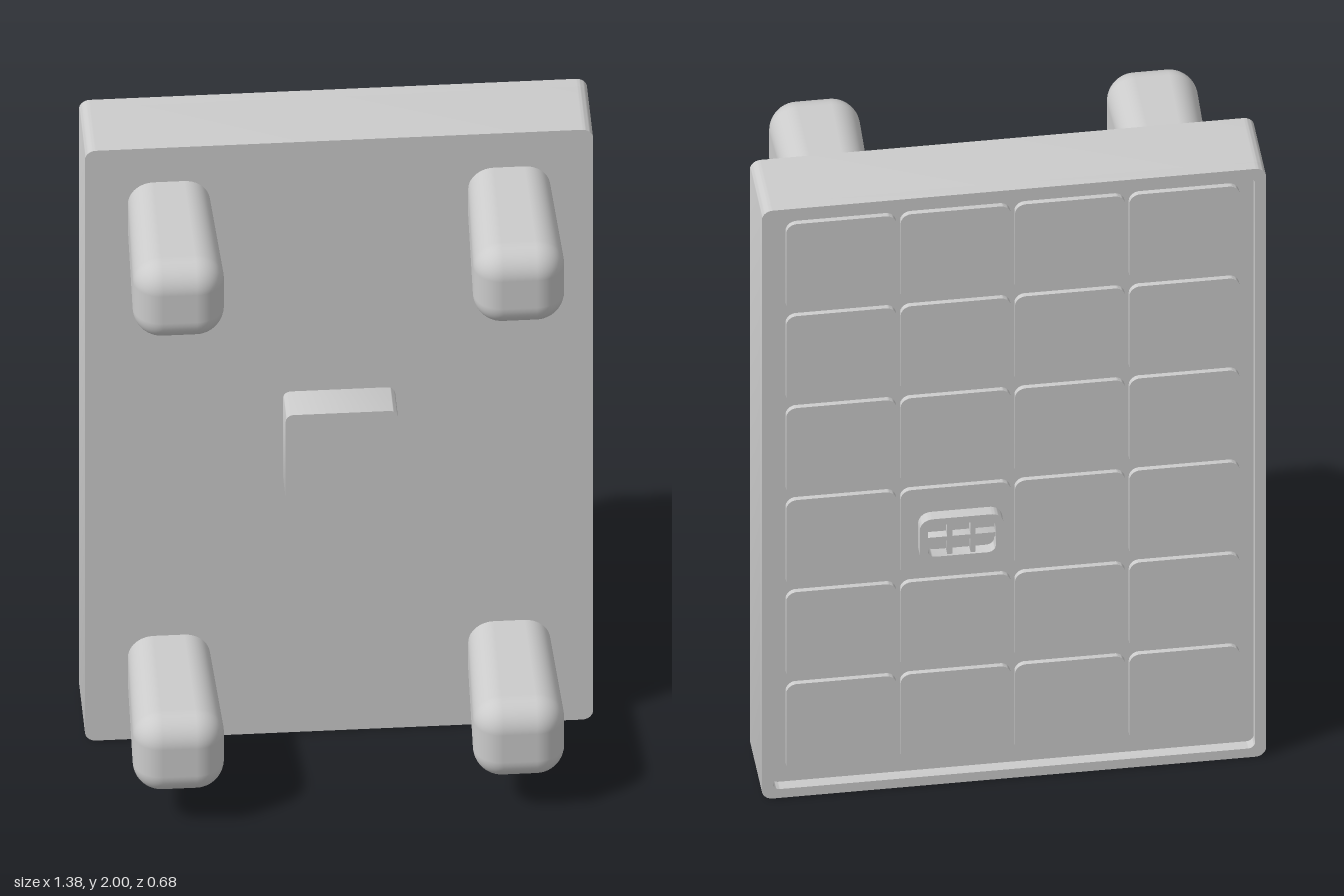
import * as THREE from 'three';
import { toCreasedNormals } from 'three/addons/utils/BufferGeometryUtils.js';
import { RoundedBoxGeometry } from 'three/addons/geometries/RoundedBoxGeometry.js';

const material = new THREE.MeshStandardMaterial({ color: 0xcccccc });

// Rounded rectangle centred on (cx, cy), drawn into a Shape or Path
function roundedRect(path, w, h, r, cx = 0, cy = 0) {
  const x = w / 2, y = h / 2;
  path.moveTo(cx + x, cy - y + r);
  path.absarc(cx + x - r, cy + y - r, r, 0, Math.PI / 2);
  path.absarc(cx - x + r, cy + y - r, r, Math.PI / 2, Math.PI);
  path.absarc(cx - x + r, cy - y + r, r, Math.PI, Math.PI * 1.5);
  path.absarc(cx + x - r, cy - y + r, r, Math.PI * 1.5, Math.PI * 2);
  path.closePath();
  return path;
}

// Flat plate between two z values, with optional holes
function plate(name, w, h, r, z0, z1, x, y, holes = []) {
  const shape = roundedRect(new THREE.Shape(), w, h, r);
  shape.holes = holes;
  const flat = new THREE.ExtrudeGeometry(shape, { depth: z1 - z0, bevelEnabled: false, curveSegments: 6 });
  const mesh = new THREE.Mesh(toCreasedNormals(flat, 0.6), material);
  mesh.name = name;
  mesh.position.set(x, y, z0);
  return mesh;
}

// Rounded leg that widens slightly towards its tip
function legGeometry() {
  const z0 = -0.2, z1 = 0.335;
  const geo = new RoundedBoxGeometry(0.248, 0.248, z1 - z0, 6, 0.078);
  geo.translate(0, 0, (z0 + z1) / 2);
  const p = geo.attributes.position;
  for (let i = 0; i < p.count; i++) {
    const t = Math.min(1, (p.getZ(i) + 0.095) / 0.355);
    const s = 0.9 + 0.1 * t;
    p.setXY(i, p.getX(i) * s, p.getY(i) * s);
  }
  return geo;
}

export function createModel() {
  const model = new THREE.Group();
  model.name = 'tiledPanel';
  const floorZ = -0.292, tileZ = -0.307, rimZ = -0.325, frontZ = -0.095;

  // Slab and the raised rim around its back
  model.add(plate('slab', 1.38, 2, 0.03, floorZ, frontZ, 0, 1));
  const opening = roundedRect(new THREE.Path(), 1.32, 1.94, 0.02);
  model.add(plate('rim', 1.38, 2, 0.03, rimZ, floorZ, 0, 1, [opening]));

  // Block in the middle of the front
  model.add(plate('centreBlock', 0.305, 0.305, 0.022, frontZ, 0.012, 0, 1.003));

  // Four legs
  const legGeo = legGeometry();
  for (const x of [-0.462, 0.462]) {
    for (const y of [0.235, 1.773]) {
      const leg = new THREE.Mesh(legGeo, material);
      leg.name = 'leg';
      leg.position.set(x, y, 0);
      model.add(leg);
    }
  }

  // Grid of raised tiles on the back
  const pitch = 0.313;
  const tiles = new THREE.Group();
  tiles.name = 'tiles';
  for (let c = 0; c < 4; c++) {
    for (let r = 0; r < 6; r++) {
      tiles.add(plate('tile', 0.302, 0.302, 0.03, tileZ, floorZ, (c - 1.5) * pitch, 1 + (r - 2.5) * pitch));
    }
  }
  model.add(tiles);

  // Drain: rounded frame with a lower cross of bars inside
  const drain = new THREE.Group();
  drain.name = 'drain';
  const dx = 0.145, dy = 0.84;
  const mouth = roundedRect(new THREE.Path(), 0.186, 0.106, 0.022);
  drain.add(plate('drainFrame', 0.23, 0.15, 0.035, -0.341, tileZ, dx, dy, [mouth]));
  for (const x of [-0.032, 0.032]) {
    drain.add(plate('drainBar', 0.014, 0.11, 0.002, -0.334, tileZ, dx + x, dy));
  }
  drain.add(plate('drainCrossbar', 0.19, 0.014, 0.002, -0.333, tileZ, dx, dy));
  model.add(drain);

  return model;
}
